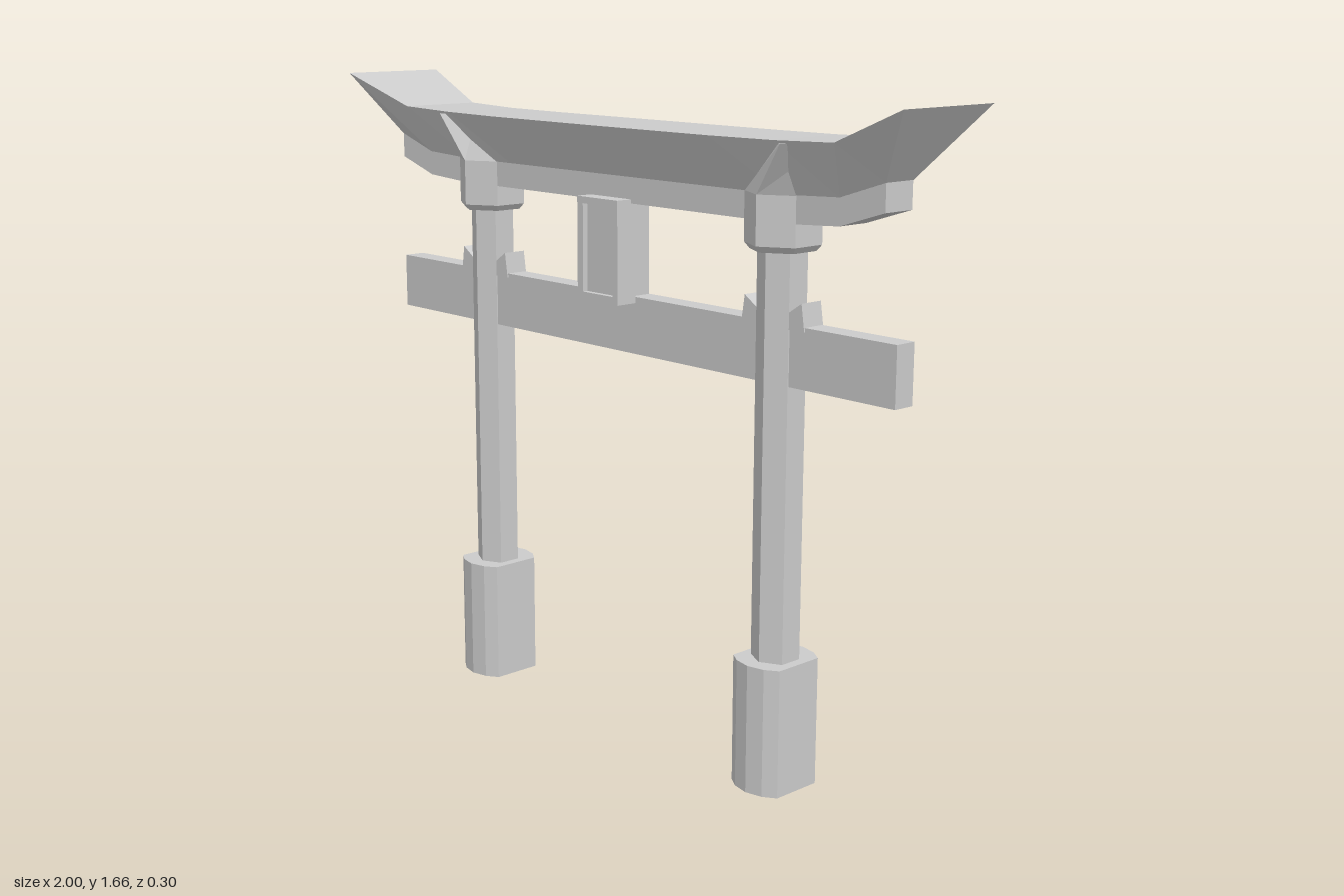
import * as THREE from 'three';

const material = new THREE.MeshStandardMaterial({ color: 0xcccccc, flatShading: true });
const ZC = 0.01; // depth centre of posts and beams

function add(parent, geometry, name) {
  const mesh = new THREE.Mesh(geometry, material);
  mesh.name = name;
  parent.add(mesh);
  return mesh;
}

// Skin a list of equal-length rings and close both ends
function loft(rings) {
  const n = rings[0].length;
  const index = [];
  for (let i = 0; i < rings.length - 1; i++) {
    for (let j = 0; j < n; j++) {
      const a = i * n + j, b = i * n + (j + 1) % n;
      index.push(a, b, b + n, a, b + n, a + n);
    }
  }
  const last = (rings.length - 1) * n;
  for (let j = 1; j < n - 1; j++) {
    index.push(0, j + 1, j, last, last + j, last + j + 1);
  }
  const g = new THREE.BufferGeometry();
  g.setAttribute('position', new THREE.Float32BufferAttribute(rings.flat(2), 3));
  g.setIndex(index);
  const flat = g.toNonIndexed();
  flat.computeVertexNormals();
  return flat;
}

// Stretched hexagon: half width a, side half depth s, pointed front and back at p
function hexRing(cx, y, a, s, p, cz = ZC) {
  return [[0, p], [a, s], [a, -s], [0, -p], [-a, -s], [-a, s]]
    .map(([x, z]) => [cx + x, y, cz + z]);
}

// Footing outline: like the hexagon, with a blunter nose
function footRing(cx, y) {
  return [[0, 0.098], [0.045, 0.088], [0.077, 0.067], [0.077, -0.067], [0.045, -0.088],
    [0, -0.098], [-0.045, -0.088], [-0.077, -0.067], [-0.077, 0.067], [-0.045, 0.088]]
    .map(([x, z]) => [cx + x, y, 0.008 + z]);
}

// Outline in the front plane, given thickness in z
function plate(points, z0, z1, hole) {
  const shape = new THREE.Shape(points.map(([x, y]) => new THREE.Vector2(x, y)));
  if (hole) shape.holes.push(new THREE.Path(hole.map(([x, y]) => new THREE.Vector2(x, y))));
  return new THREE.ExtrudeGeometry(shape, { depth: z1 - z0, bevelEnabled: false }).translate(0, 0, z0);
}

const rect = (x0, x1, y0, y1) => [[x0, y0], [x1, y0], [x1, y1], [x0, y1]];

export function createModel() {
  const gate = new THREE.Group();
  gate.name = 'gate';

  // Posts with footing, capital, bracket and wedges
  for (const side of [1, -1]) {
    const post = new THREE.Group();
    post.name = side > 0 ? 'leftPost' : 'rightPost';
    gate.add(post);
    const cx = side * 0.54;

    add(post, loft([footRing(cx, 0), footRing(cx, 0.325)]), 'footing');
    add(post, loft([hexRing(cx, 0.3, 0.052, 0.03, 0.056), hexRing(cx, 1.34, 0.052, 0.03, 0.056)]), 'shaft');
    // Capital rises into a bracket that leans outward under the roof
    add(post, loft([
      hexRing(cx, 1.317, 0.07, 0.038, 0.078),
      hexRing(cx, 1.332, 0.081, 0.045, 0.09),
      hexRing(cx, 1.45, 0.081, 0.045, 0.09),
      hexRing(side * 0.625, 1.57, 0.081, 0.055, 0.116, 0),
    ]), 'capitalBracket');

    for (const dir of [1, -1]) {
      const wedge = [[0.04, 1.14], [0.1, 1.14], [0.09, 1.205], [0.04, 1.172]]
        .map(([x, y]) => [cx + dir * x, y]);
      add(post, plate(wedge, -0.025, 0.04), 'wedge');
    }
  }

  // Straight tie beam
  add(gate, plate(rect(-0.91, 0.91, 1.005, 1.15), -0.022, 0.037), 'tieBeam');

  // Lintel with upswept ends
  const lower = [[0.6, 1.385], [0.75, 1.394], [0.88, 1.435]];
  const upper = [[0.88, 1.5], [0.75, 1.47], [0.6, 1.46]];
  const flip = (pts) => pts.map(([x, y]) => [-x, y]).reverse();
  add(gate, plate([...lower, ...upper, ...flip(upper), ...flip(lower)], -0.035, 0.055), 'lintel');

  // Flared roof: [top x, top y, front z, back z, bottom x, bottom y]
  const half = [
    [0.4, 1.575, 0.118, -0.114, 0.4, 1.45],
    [0.6, 1.576, 0.109, -0.114, 0.58, 1.45],
    [0.78, 1.582, 0.113, -0.114, 0.75, 1.458],
    [1, 1.665, 0.15, -0.15, 0.88, 1.5],
  ];
  const sections = [
    ...half.map(([a, b, c, d, e, f]) => [-a, b, c, d, -e, f]).reverse(),
    [0, 1.575, 0.122, -0.115, 0, 1.45],
    ...half,
  ];
  add(gate, loft(sections.map(([tx, ty, zf, zb, bx, by]) => [
    [bx, by, -0.036], [tx, ty, zb], [tx, ty, zf], [bx, by, 0.056],
  ])), 'roof');

  // Framed tablet between tie beam and lintel
  const tablet = new THREE.Group();
  tablet.name = 'tablet';
  gate.add(tablet);
  add(tablet, plate(rect(-0.08, 0.07, 1.135, 1.395), 0.04, 0.1,
    rect(-0.059, 0.052, 1.155, 1.378).reverse()), 'tabletFrame');
  add(tablet, plate(rect(-0.062, 0.055, 1.145, 1.388), -0.02, 0.085), 'tabletPanel');

  return gate;
}
